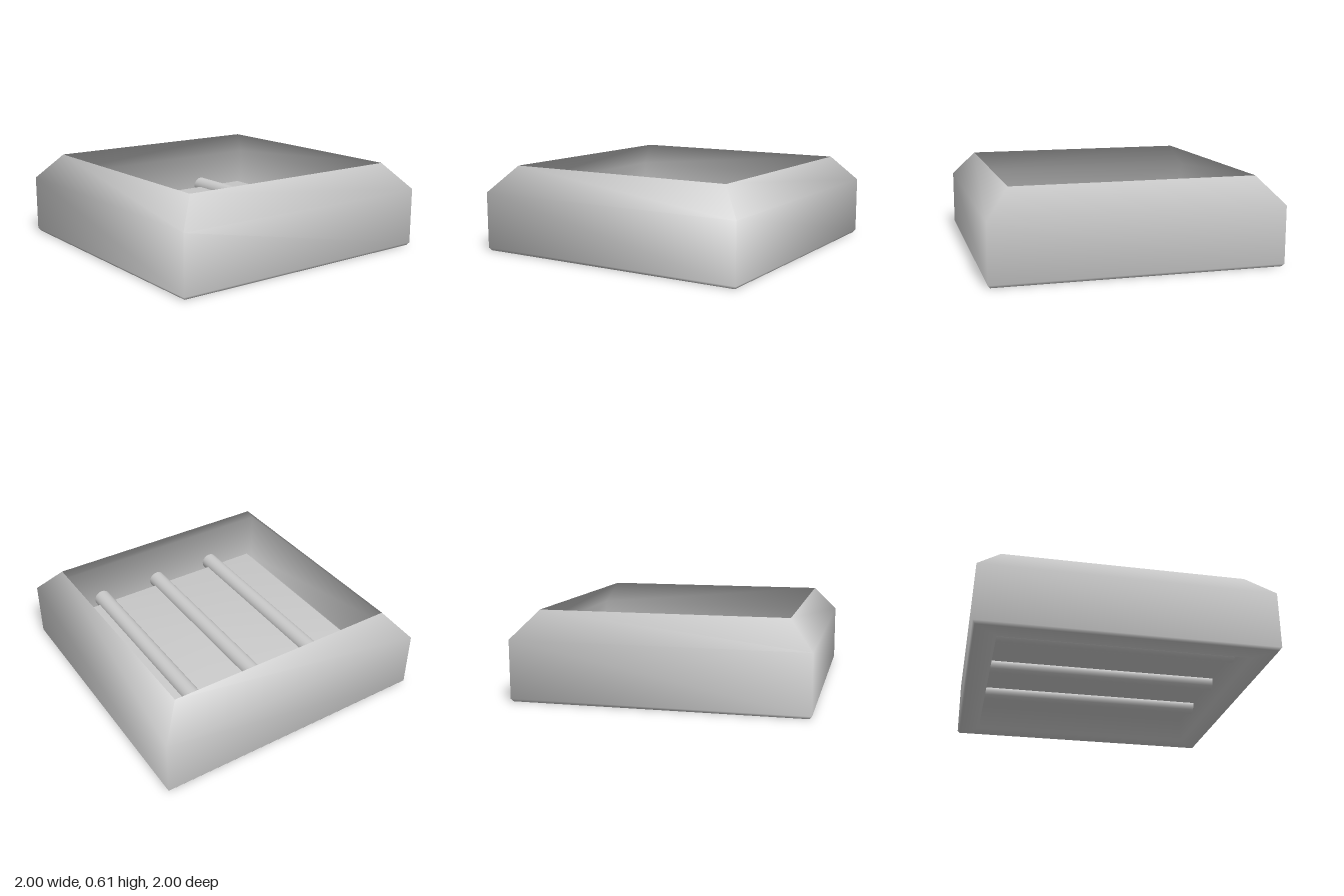
import * as THREE from 'three';

export function createModel() {
  const model = new THREE.Group();
  const material = new THREE.MeshStandardMaterial({ color: 0xcccccc, side: THREE.DoubleSide });

  // Thin square shell: raised floor panel, recess under it, base rim, walls, sloped collar (open top)
  const profile = [
    [0, 0.187], [0.84, 0.187], [0.84, 0], [0.985, 0], [1, 0.02], [1, 0.42], [0.84, 0.605],
  ].map(([half, y]) => new THREE.Vector2(half * Math.SQRT2, y));
  const shellGeometry = new THREE.LatheGeometry(profile, 4);
  shellGeometry.rotateY(Math.PI / 4);
  const shell = new THREE.Mesh(shellGeometry, material);
  shell.name = 'trayShell';
  model.add(shell);

  // Three round bars set halfway into the floor panel
  const barGeometry = new THREE.CylinderGeometry(0.064, 0.064, 1.85, 24);
  barGeometry.rotateZ(Math.PI / 2);
  [-0.5, 0, 0.51].forEach((z, i) => {
    const bar = new THREE.Mesh(barGeometry, material);
    bar.name = `crossBar${i + 1}`;
    bar.position.set(0, 0.182, z);
    model.add(bar);
  });

  return model;
}
